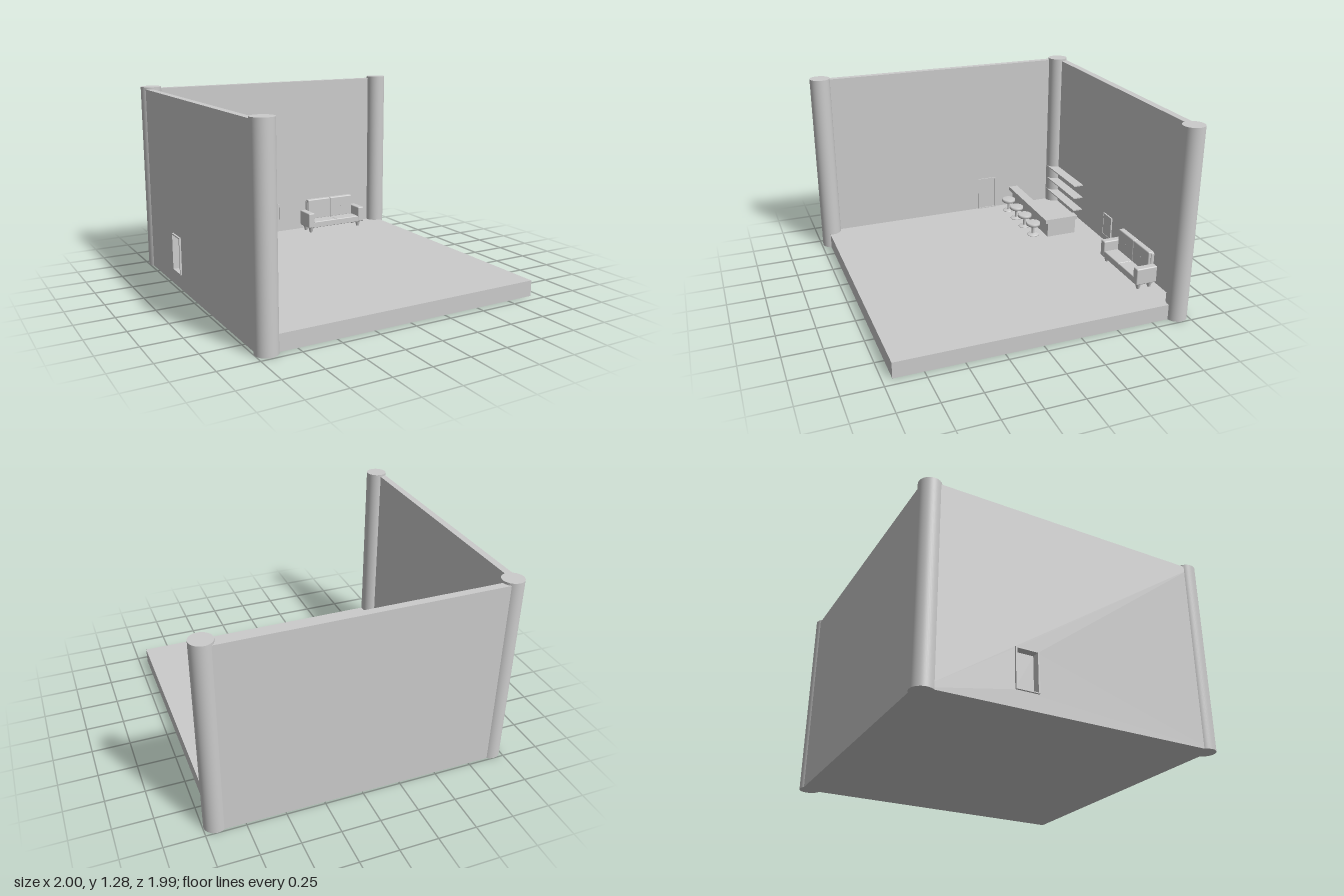
import * as THREE from 'three';
import { RoundedBoxGeometry } from 'three/addons/geometries/RoundedBoxGeometry.js';

const FLOOR = 0.105;

export function createModel() {
  const room = new THREE.Group();
  room.name = 'loungeRoom';
  const grey = new THREE.MeshStandardMaterial({ color: 0xcccccc });
  grey.name = 'plainGrey';

  const add = (parent, name, geometry, x = 0, y = 0, z = 0) => {
    const mesh = new THREE.Mesh(geometry, grey);
    mesh.name = name;
    mesh.position.set(x, y, z);
    parent.add(mesh);
    return mesh;
  };
  // Box given by its limits; a radius rounds the edges
  const box = (parent, name, [x0, x1], [y0, y1], [z0, z1], radius = 0) => {
    const size = [x1 - x0, y1 - y0, z1 - z0];
    const geometry = radius ? new RoundedBoxGeometry(...size, 2, radius) : new THREE.BoxGeometry(...size);
    return add(parent, name, geometry, (x0 + x1) / 2, (y0 + y1) / 2, (z0 + z1) / 2);
  };
  const group = (name) => {
    const g = new THREE.Group();
    g.name = name;
    room.add(g);
    return g;
  };
  const rect = (C, x0, x1, y0, y1) => {
    const r = new C();
    r.moveTo(x0, y0);
    r.lineTo(x1, y0);
    r.lineTo(x1, y1);
    r.lineTo(x0, y1);
    r.closePath();
    return r;
  };

  // Floor slab, back wall and corner columns
  box(room, 'floor', [-0.935, 0.94], [0, FLOOR], [-0.935, 0.94]);
  box(room, 'backWall', [-0.935, 0.93], [0, 1.27], [-0.985, -0.935]);
  for (const [x, z] of [[-0.93, -0.93], [0.925, -0.93], [-0.93, 0.92]]) {
    add(room, 'column', new THREE.CylinderGeometry(0.07, 0.07, 1.285, 48), x, 0.6425, z);
  }

  // Left wall with a doorway; shape x runs along -z
  const wall = rect(THREE.Shape, -0.93, 0.95, 0, 1.27);
  wall.holes.push(rect(THREE.Path, 0.275, 0.41, FLOOR, 0.352));
  const wallGeometry = new THREE.ExtrudeGeometry(wall, { depth: 0.047, bevelEnabled: false });
  add(room, 'leftWall', wallGeometry, -0.982, 0, 0).rotation.y = Math.PI / 2;

  // Door frame and panel
  const door = group('door');
  const frame = rect(THREE.Shape, 0.268, 0.417, FLOOR, 0.358);
  frame.holes.push(rect(THREE.Path, 0.278, 0.407, FLOOR + 0.006, 0.349));
  const frameGeometry = new THREE.ExtrudeGeometry(frame, { depth: 0.068, bevelEnabled: false });
  add(door, 'doorFrame', frameGeometry, -0.994, 0, 0).rotation.y = Math.PI / 2;
  box(door, 'doorPanel', [-0.944, -0.934], [FLOOR, 0.352], [-0.41, -0.275]);

  // L-shaped bar counter
  const bar = group('barCounter');
  const lShape = (x0, x1, xIn, zFront, zIn, zBack) => {
    const s = new THREE.Shape();
    s.moveTo(x0, -zFront);
    s.lineTo(x1, -zFront);
    s.lineTo(x1, -zBack);
    s.lineTo(xIn, -zBack);
    s.lineTo(xIn, -zIn);
    s.lineTo(x0, -zIn);
    s.closePath();
    return s;
  };
  const slab = (name, shape, y0, y1) => {
    const geometry = new THREE.ExtrudeGeometry(shape, { depth: y1 - y0, bevelEnabled: false });
    add(bar, name, geometry, 0, y0, 0).rotation.x = -Math.PI / 2;
  };
  slab('barBase', lShape(-0.935, -0.25, -0.275, -0.566, -0.6, -0.79), FLOOR, 0.226);
  slab('barTop', lShape(-0.935, -0.22, -0.28, -0.534, -0.605, -0.79), 0.226, 0.255);

  // Bar stools: turned seat, pole and foot
  const seatProfile = [[0, 0.181], [0.047, 0.181], [0.052, 0.186], [0.053, 0.194], [0.052, 0.202], [0.047, 0.207], [0, 0.207]];
  const standProfile = [[0, 0.105], [0.044, 0.105], [0.044, 0.109], [0.036, 0.112], [0.012, 0.115], [0.01, 0.12], [0.01, 0.172], [0.022, 0.181]];
  const lathe = (profile) => new THREE.LatheGeometry(profile.map(([r, y]) => new THREE.Vector2(r, y)), 32);
  for (const x of [-0.817, -0.654, -0.492, -0.33]) {
    const stool = group('barStool');
    stool.position.set(x, 0, -0.482);
    add(stool, 'stoolSeat', lathe(seatProfile));
    add(stool, 'stoolStand', lathe(standProfile));
  }

  // Wall shelves
  for (const y of [0.2, 0.3, 0.4]) {
    box(room, 'shelf', [-0.935, -0.425], [y - 0.004, y + 0.004], [-0.936, -0.86]);
  }

  // Framed wall panel
  const picture = group('wallPicture');
  const border = rect(THREE.Shape, -0.068, 0.05, 0.155, 0.32);
  border.holes.push(rect(THREE.Path, -0.064, 0.046, 0.159, 0.316));
  add(picture, 'pictureFrame', new THREE.ExtrudeGeometry(border, { depth: 0.012, bevelEnabled: false }), 0, 0, -0.936);
  box(picture, 'pictureFace', [-0.065, 0.047], [0.157, 0.318], [-0.936, -0.927]);

  // Sofa
  const sofa = group('sofa');
  box(sofa, 'sofaBase', [0.225, 0.71], [0.145, 0.185], [-0.9, -0.757], 0.004);
  for (const [x0, x1] of [[0.22, 0.27], [0.665, 0.715]]) {
    box(sofa, 'sofaArm', [x0, x1], [0.146, 0.262], [-0.905, -0.755], 0.008);
  }
  box(sofa, 'sofaBack', [0.265, 0.67], [0.17, 0.335], [-0.905, -0.88], 0.006);
  for (const [x0, x1] of [[0.27, 0.4675], [0.4675, 0.665]]) {
    const mid = (x0 + x1) / 2;
    box(sofa, 'seatCushion', [x0, x1], [0.17, 0.192], [-0.865, -0.757], 0.006);
    box(sofa, 'backCushion', [x0, x1], [0.186, 0.345], [-0.904, -0.862], 0.008);
    add(sofa, 'cushionButton', new THREE.SphereGeometry(0.003, 10, 8), mid, 0.267, -0.862);
  }
  // Tapered feet
  for (const x of [0.255, 0.68]) {
    for (const z of [-0.79, -0.872]) {
      add(sofa, 'sofaFoot', new THREE.CylinderGeometry(0.022, 0.011, 0.042, 16), x, 0.126, z);
    }
  }

  return room;
}
